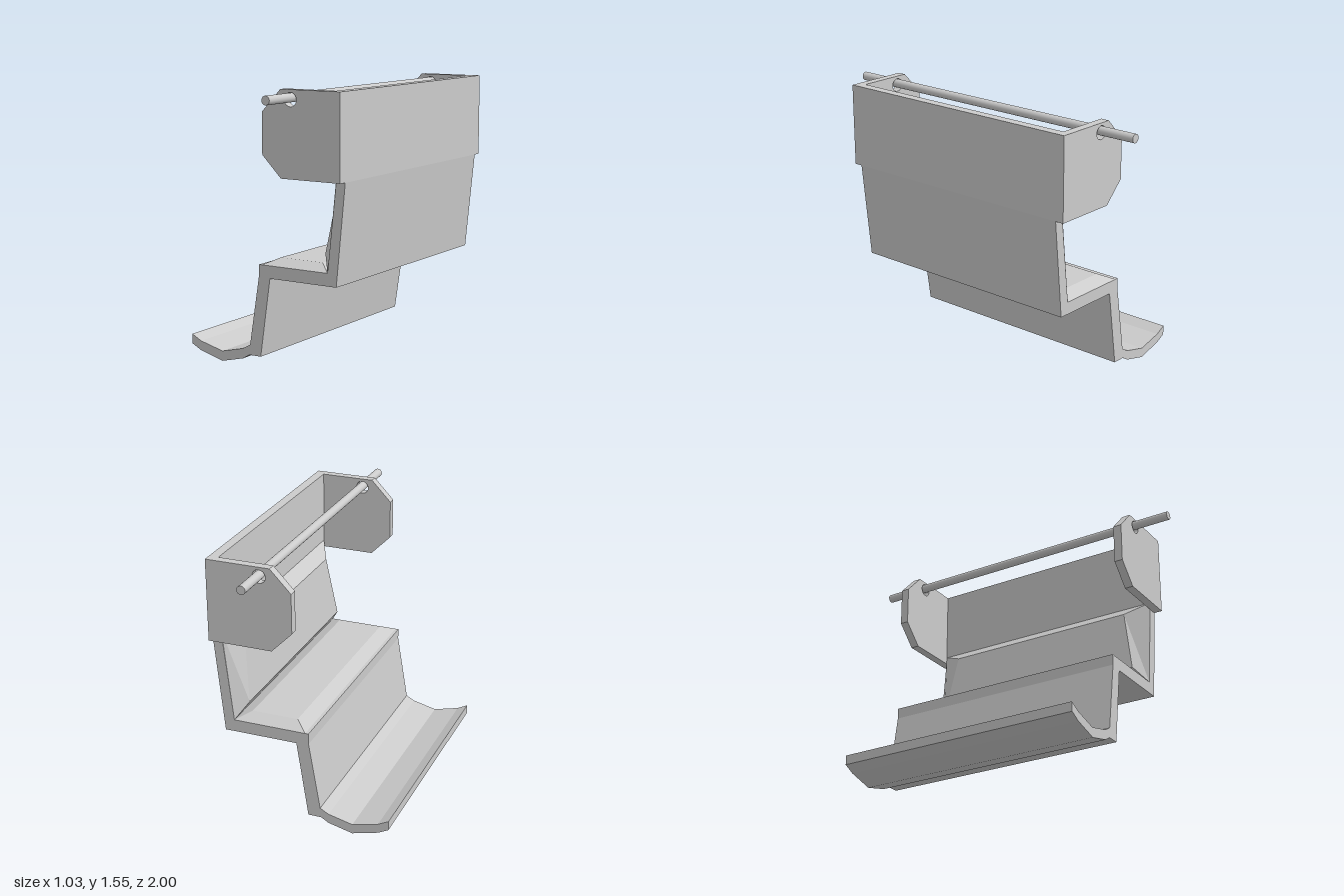
import * as THREE from 'three';

const material = new THREE.MeshStandardMaterial({ color: 0xcccccc });
const flat = new THREE.MeshStandardMaterial({ color: 0xcccccc, flatShading: true });
const HALF = 0.73; // half length of the bent sheet
const PLATE = 0.05; // side plate thickness

function add(group, name, geometry, mat = material) {
  const mesh = new THREE.Mesh(geometry, mat);
  mesh.name = name;
  group.add(mesh);
  return mesh;
}

function outline(points) {
  return new THREE.Shape(points.map(([x, y]) => new THREE.Vector2(x, y)));
}

// Raised pad with four bevels: lo/hi are [x, y] ends, z is the half length at each end
function pad(base, top) {
  const corners = ({ lo, hi, zLo, zHi }) => [
    [...lo, zLo], [...hi, zHi], [...hi, -zHi], [...lo, -zLo],
  ];
  const b = corners(base), t = corners(top);
  const positions = [];
  const quad = (p, q, r, s) => [p, q, r, p, r, s].forEach((v) => positions.push(...v));
  quad(...t);
  quad(b[3], b[2], b[1], b[0]);
  for (let i = 0; i < 4; i++) {
    const j = (i + 1) % 4;
    quad(b[i], b[j], t[j], t[i]);
  }
  const geometry = new THREE.BufferGeometry();
  geometry.setAttribute('position', new THREE.Float32BufferAttribute(positions, 3));
  geometry.computeVertexNormals();
  return geometry;
}

export function createModel() {
  const model = new THREE.Group();
  model.name = 'steppedBracket';

  // Bent sheet: curved tray, riser, shelf and back wall in one profile
  const body = outline([
    [-0.517, 0.13], [-0.455, 0.098], [-0.303, 0.06], [-0.16, 0.095], [-0.11, 0.123],
    [-0.045, 0.52], [-0.045, 0.583], [0.402, 0.583], [0.458, 1.08], [0.458, 1.55],
    [0.513, 1.55], [0.513, 1.075], [0.457, 0.512], [0.028, 0.512], [-0.038, 0.065],
    [-0.115, 0.065], [-0.16, 0.038], [-0.303, 0.003], [-0.455, 0.043], [-0.517, 0.075],
  ]);
  const bodyGeometry = new THREE.ExtrudeGeometry(body, { depth: 2 * HALF, bevelEnabled: false });
  add(model, 'bentSheet', bodyGeometry.translate(0, 0, -HALF), flat);

  // Raised pads on the shelf and back wall
  add(model, 'shelfPad', pad(
    { lo: [-0.025, 0.583], hi: [0.402, 0.583], zLo: HALF, zHi: HALF },
    { lo: [0.05, 0.62], hi: [0.322, 0.62], zLo: 0.655, zHi: 0.655 },
  ), flat);
  add(model, 'wallPad', pad(
    { lo: [0.402, 0.583], hi: [0.46, 1.12], zLo: HALF, zHi: HALF },
    { lo: [0.34, 0.672], hi: [0.388, 1.05], zLo: 0.655, zHi: 0.59 },
  ), flat);

  // Clipped side plates with a hole for the rod
  const plate = outline([
    [0.513, 1.075], [0.513, 1.55], [0.14, 1.55], [0.02, 1.425], [0.02, 1.195], [0.14, 1.075],
  ]);
  plate.holes.push(new THREE.Path().absarc(0.203, 1.497, 0.038, 0, Math.PI * 2, true));
  for (const [name, z] of [['frontPlate', HALF], ['rearPlate', -HALF - PLATE]]) {
    const geometry = new THREE.ExtrudeGeometry(plate, {
      depth: PLATE, bevelEnabled: false, curveSegments: 24,
    });
    add(model, name, geometry.translate(0, 0, z));
  }

  // Long rod through both holes
  const rod = add(model, 'rod', new THREE.CylinderGeometry(0.025, 0.025, 2, 24));
  rod.rotation.x = Math.PI / 2;
  rod.position.set(0.201, 1.507, 0);

  return model;
}
